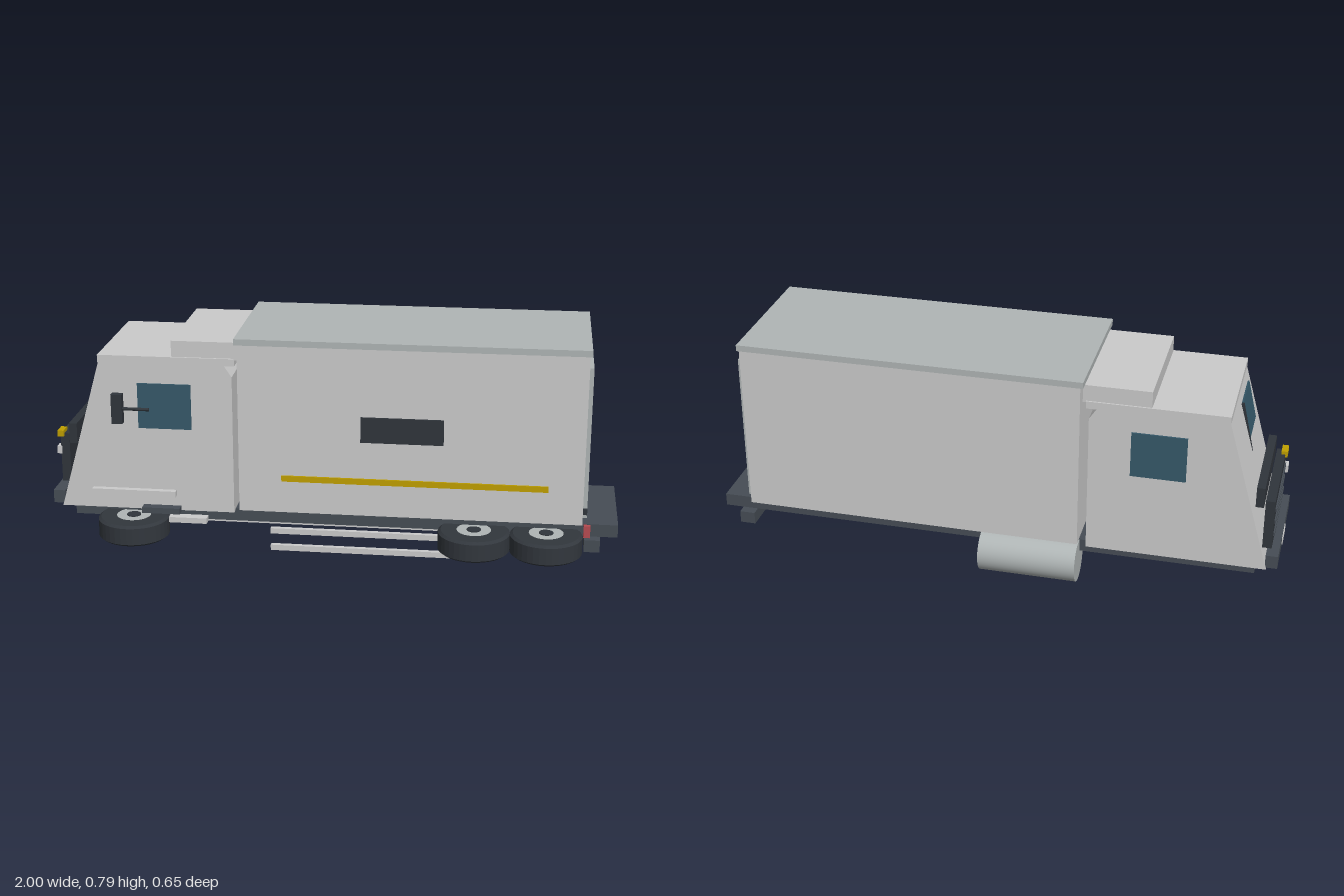
import * as THREE from 'three';

const mat = (color) => new THREE.MeshStandardMaterial({ color, flatShading: true });
const LIGHT = mat(0xcccccc), PANEL = mat(0xb0b6b6), DARK = mat(0x464d55), BLACK = mat(0x30353b);
const GLASS = mat(0x36596a), YELLOW = mat(0xc0a000), RED = mat(0xb84c52);

export function createModel() {
  const truck = new THREE.Group();
  truck.name = 'boxTruck';

  const add = (name, geometry, material, parent = truck) => {
    const mesh = new THREE.Mesh(geometry, material);
    mesh.name = name;
    parent.add(mesh);
    return mesh;
  };
  // Box given by its limits on each axis
  const box = (name, material, [x0, x1], [y0, y1], [z0, z1]) => {
    const mesh = add(name, new THREE.BoxGeometry(x1 - x0, y1 - y0, z1 - z0), material);
    mesh.position.set((x0 + x1) / 2, (y0 + y1) / 2, (z0 + z1) / 2);
    return mesh;
  };
  // Side profile in x and y, extruded from z0 to z1
  const slab = (name, material, points, z0, z1) => {
    const shape = new THREE.Shape(points.map(([x, y]) => new THREE.Vector2(x, y)));
    const geometry = new THREE.ExtrudeGeometry(shape, { depth: z1 - z0, bevelEnabled: false });
    geometry.translate(0, 0, z0);
    return add(name, geometry, material);
  };

  // Cargo box
  box('cargoBox', LIGHT, [-0.315, 0.875], [0.17, 0.77], [-0.297, 0.215]);
  box('cargoRoof', PANEL, [-0.325, 0.882], [0.77, 0.792], [-0.302, 0.22]);
  box('rearDoor', PANEL, [0.87, 0.89], [0.19, 0.725], [-0.277, 0.195]);
  box('doorLatch', BLACK, [0.876, 0.89], [0.205, 0.225], [0.195, 0.206]);
  box('sidePanel', BLACK, [0.11, 0.395], [0.44, 0.53], [0.21, 0.222]);
  box('sideStripe', YELLOW, [-0.165, 0.755], [0.286, 0.307], [0.21, 0.221]);

  // Cab with sloping front
  slab('cab', LIGHT, [[-0.96, 0.147], [-0.34, 0.147], [-0.34, 0.645], [-0.37, 0.69], [-0.807, 0.69]], -0.267, 0.182);
  box('cabRoof', LIGHT, [-0.81, -0.33], [0.685, 0.711], [-0.273, 0.187]);
  box('roofFairing', LIGHT, [-0.55, -0.318], [0.705, 0.768], [-0.267, 0.18]);
  slab('windshield', GLASS, [[-0.868, 0.465], [-0.85, 0.465], [-0.81, 0.645], [-0.825, 0.65]], -0.035, 0.135);
  slab('windshieldPillar', BLACK, [[-0.87, 0.465], [-0.85, 0.465], [-0.81, 0.645], [-0.828, 0.65]], -0.045, -0.035);
  box('leftWindow', GLASS, [-0.673, -0.485], [0.45, 0.613], [0.175, 0.187]);
  box('rightWindow', GLASS, [-0.673, -0.485], [0.45, 0.613], [-0.273, -0.26]);
  box('handrail', LIGHT, [-0.845, -0.545], [0.202, 0.223], [0.18, 0.203]);

  // Mirror and its arm
  box('mirror', BLACK, [-0.75, -0.712], [0.485, 0.59], [0.23, 0.256]);
  const arm = add('mirrorArm', new THREE.CylinderGeometry(0.006, 0.006, 0.12, 8), BLACK);
  arm.rotation.z = Math.PI / 2;
  arm.position.set(-0.68, 0.537, 0.243);

  // Nose: grille, lamps and bumper
  box('grille', BLACK, [-0.972, -0.94], [0.22, 0.4], [-0.245, 0.13]);
  for (const y of [0.26, 0.31, 0.355]) {
    box('grilleSlat', DARK, [-0.977, -0.972], [y - 0.006, y + 0.006], [-0.22, 0.105]);
  }
  box('grilleTop', BLACK, [-0.935, -0.907], [0.37, 0.443], [-0.24, 0.145]);
  box('markerLamp', YELLOW, [-0.98, -0.958], [0.39, 0.412], [0.09, 0.14]);
  box('headlamp', LIGHT, [-0.985, -0.968], [0.325, 0.352], [0.1, 0.135]);
  box('frontBumper', DARK, [-0.997, -0.955], [0.15, 0.197], [-0.258, 0.168]);
  box('bumperPlate', LIGHT, [-1, -0.99], [0.158, 0.185], [-0.11, -0.015]);

  // Chassis and rear end
  box('chassis', DARK, [-0.92, 1], [0.107, 0.152], [-0.235, 0.155]);
  box('underPlate', LIGHT, [-0.57, 0.87], [0.083, 0.107], [-0.19, 0.11]);
  box('rearBumper', DARK, [0.885, 0.94], [0.056, 0.1], [-0.258, 0.175]);
  box('tailLamp', RED, [0.882, 0.905], [0.107, 0.15], [0.155, 0.172]);

  // Steps and side rails
  box('upperStep', DARK, [-0.665, -0.53], [0.143, 0.164], [0.18, 0.215]);
  box('lowerStep', LIGHT, [-0.57, -0.435], [0.11, 0.13], [0.175, 0.21]);
  for (const y of [0.025, 0.088]) {
    box('sideRail', LIGHT, [-0.21, 0.475], [y - 0.01, y + 0.01], [0.175, 0.192]);
  }

  // Fuel tank
  const tank = add('fuelTank', new THREE.CylinderGeometry(0.0755, 0.0755, 0.345, 40), PANEL);
  tank.material = new THREE.MeshStandardMaterial({ color: 0xb0b6b6 });
  tank.rotation.z = Math.PI / 2;
  tank.position.set(-0.14, 0.0765, -0.25);

  // Wheels lie flat along one side
  const tyreProfile = [[0.06, -0.038], [0.115, -0.038], [0.125, -0.03], [0.125, 0.03], [0.115, 0.038], [0.06, 0.038]]
    .map(([r, y]) => new THREE.Vector2(r, y));
  const rubber = new THREE.MeshStandardMaterial({ color: 0x32373d, flatShading: true });
  for (const x of [-0.698, 0.505, 0.754]) {
    const wheel = new THREE.Group();
    wheel.name = 'wheel';
    wheel.position.set(x, 0.093, 0.2);
    add('tyre', new THREE.LatheGeometry(tyreProfile, 36), rubber, wheel);
    add('rim', new THREE.CylinderGeometry(0.064, 0.064, 0.074, 28), PANEL, wheel);
    add('hubCap', new THREE.CylinderGeometry(0.025, 0.025, 0.08, 16), BLACK, wheel);
    truck.add(wheel);
  }
  return truck;
}
